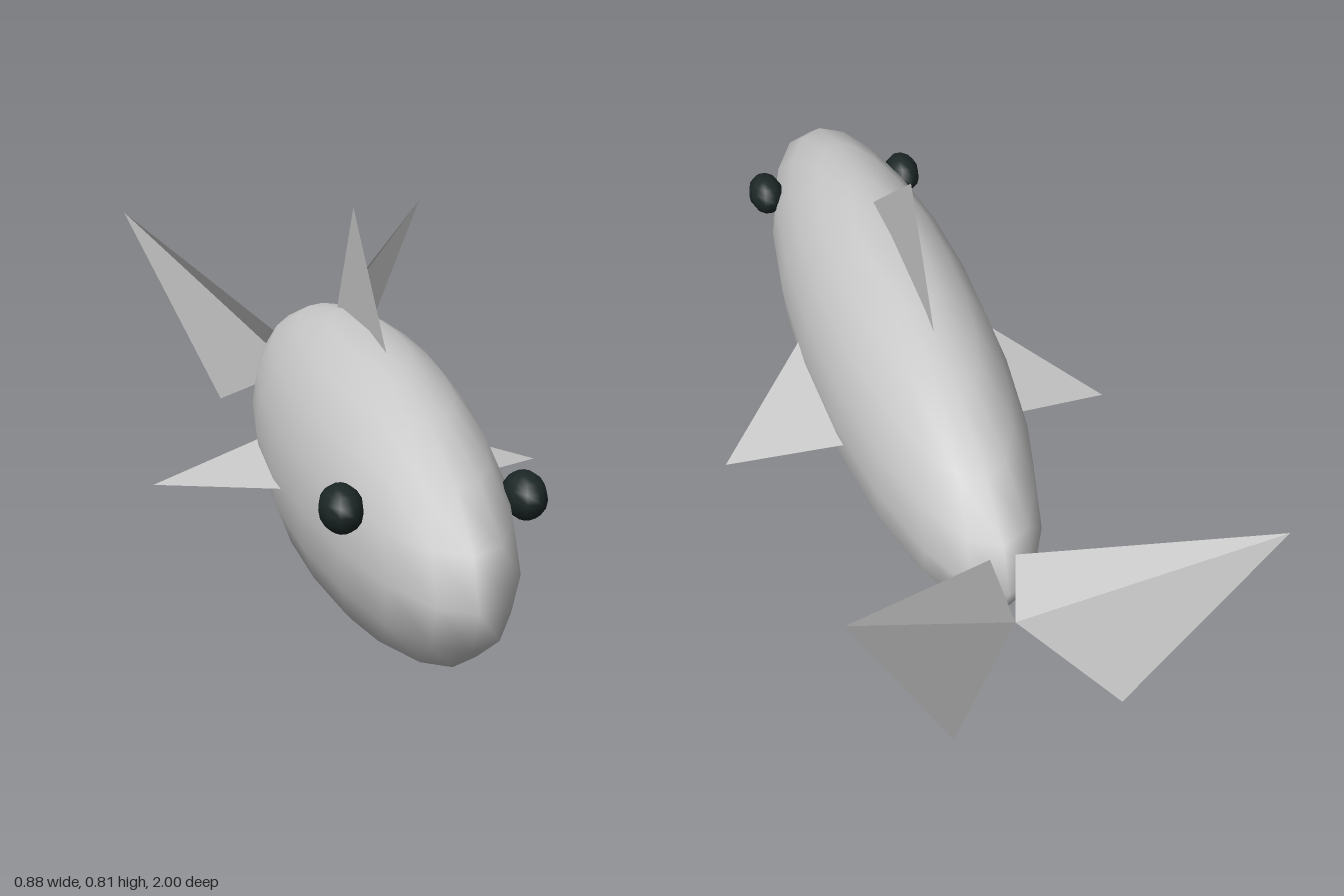
import * as THREE from 'three';

const grey = new THREE.MeshStandardMaterial({ color: 0xcccccc });
const finGrey = new THREE.MeshStandardMaterial({ color: 0xcccccc, side: THREE.DoubleSide });
const eyeDark = new THREE.MeshStandardMaterial({ color: 0x1c2726 });

// Sphere stretched to three radii
function ellipsoid(name, material, radii, centre, cols, rows) {
  const geometry = new THREE.SphereGeometry(1, cols, rows);
  geometry.scale(...radii);
  const mesh = new THREE.Mesh(geometry, material);
  mesh.name = name;
  mesh.position.set(...centre);
  return mesh;
}

// Thin fin from triangles of corner points; side = -1 mirrors it
function fin(name, triangles, side = 1) {
  const points = triangles.flatMap((t) => (side > 0 ? t : [t[0], t[2], t[1]]))
    .flatMap(([x, y, z]) => [x * side, y, z]);
  const geometry = new THREE.BufferGeometry();
  geometry.setAttribute('position', new THREE.Float32BufferAttribute(points, 3));
  geometry.computeVertexNormals();
  const mesh = new THREE.Mesh(geometry, finGrey);
  mesh.name = name;
  return mesh;
}

export function createModel() {
  const fish = new THREE.Group();
  fish.name = 'fish';

  fish.add(ellipsoid('body', grey, [0.21, 0.287, 0.845], [0, 0.29, 0.155], 20, 10));

  // Back fin, its root sunk into the body
  fish.add(fin('dorsalFin', [[[0, 0.81, 0], [0, 0.53, 0.36], [0, 0.51, -0.2]]]));

  // Tail lobe corners: each lobe is folded along the line from root to tip
  const root = [0, 0.257, -0.732];
  const tip = [0.4, 0.635, -1];
  const upper = [0.026, 0.35, -0.645];
  const lower = [0.17, 0.143, -0.885];

  for (const [label, side] of [['left', 1], ['right', -1]]) {
    fish.add(ellipsoid(label + 'Eye', eyeDark, [0.042, 0.046, 0.061],
      [0.174 * side, 0.386, 0.692], 10, 8));
    fish.add(fin(label + 'PectoralFin',
      [[[0.438, 0.197, -0.06], [0.14, 0.275, -0.156], [0.158, 0.284, 0.29]]], side));
    fish.add(fin(label + 'TailLobe', [[root, tip, upper], [root, lower, tip]], side));
  }
  return fish;
}
